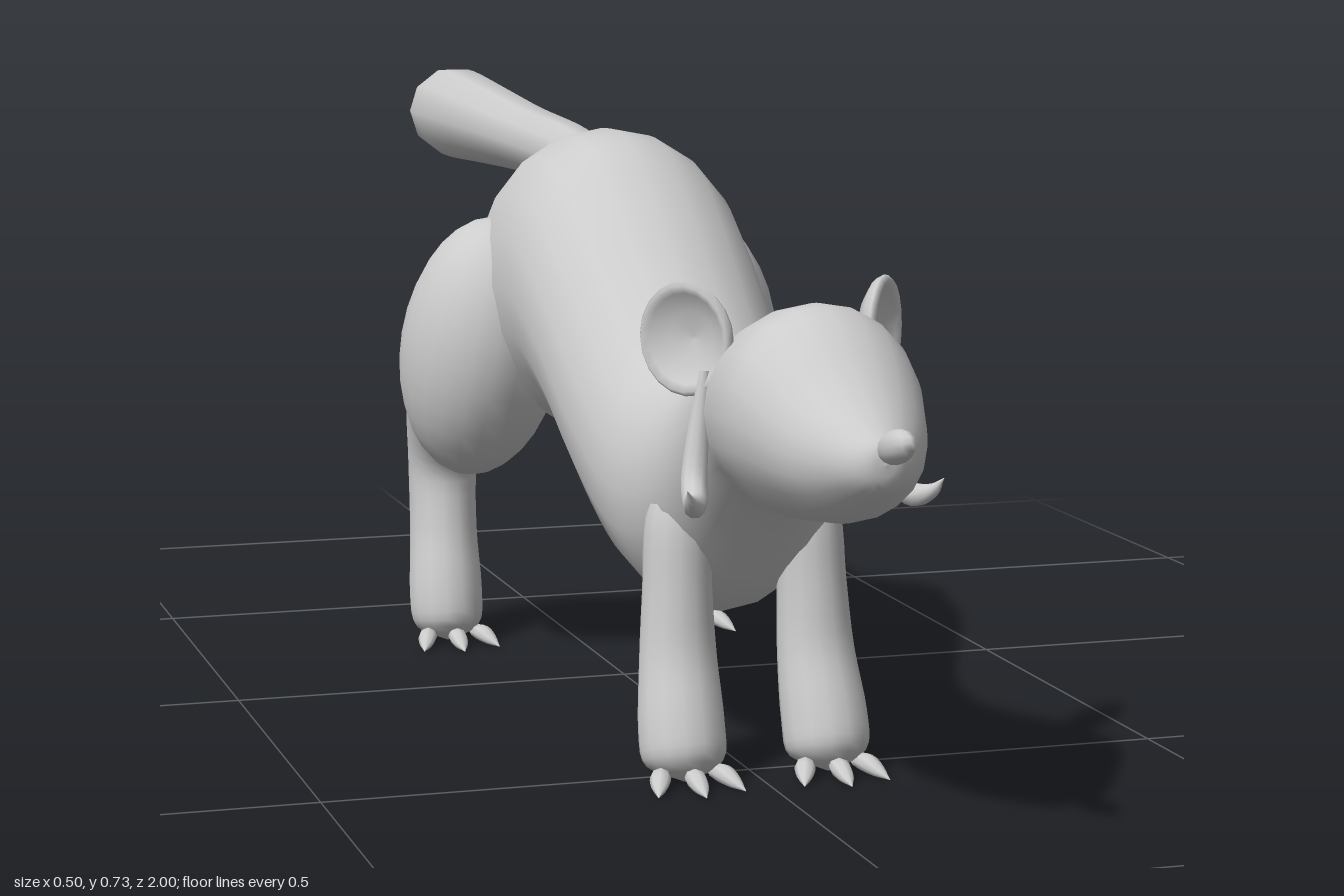
import * as THREE from 'three';

const fur = new THREE.MeshStandardMaterial({ color: 0xcccccc });
fur.name = 'plain grey';

// Smooth tube through rows [x, y, z, halfWidth, halfDepth]; upright keeps the rings vertical.
function loft(rows, { sides = 16, steps = 4, upright = false } = {}) {
  const centres = new THREE.CatmullRomCurve3(rows.map(r => new THREE.Vector3(r[0], r[1], r[2])), false, 'catmullrom');
  const radii = new THREE.CatmullRomCurve3(rows.map(r => new THREE.Vector3(r[3], r[4], 0)), false, 'catmullrom');
  const xAxis = new THREE.Vector3(1, 0, 0);
  const n = (rows.length - 1) * steps;
  const pos = [], idx = [];
  for (let i = 0; i <= n; i++) {
    const c = centres.getPoint(i / n), r = radii.getPoint(i / n);
    const up = upright ? new THREE.Vector3(0, 1, 0) : centres.getTangent(i / n).cross(xAxis).normalize();
    const rx = Math.max(r.x, 0.0003), ry = Math.max(r.y, 0.0003);
    for (let j = 0; j < sides; j++) {
      const a = (j / sides) * Math.PI * 2;
      const p = c.clone().addScaledVector(xAxis, rx * Math.cos(a)).addScaledVector(up, ry * Math.sin(a));
      pos.push(p.x, p.y, p.z);
      if (i < n) {
        const k = i * sides + j, m = i * sides + ((j + 1) % sides);
        idx.push(k, m, k + sides, m, m + sides, k + sides);
      }
    }
  }
  const g = new THREE.BufferGeometry();
  g.setAttribute('position', new THREE.Float32BufferAttribute(pos, 3));
  g.setIndex(idx);
  g.computeVertexNormals();
  return g;
}

export function createModel() {
  const model = new THREE.Group();
  model.name = 'longBodiedAnimal';
  const add = (name, geometry, parent = model) => {
    const mesh = new THREE.Mesh(geometry, fur);
    mesh.name = name;
    parent.add(mesh);
    return mesh;
  };

  // Rump, back, neck and head in one skin: [z, underside, top, half width]
  const profile = [
    [-0.295, 0.48, 0.48, 0], [-0.285, 0.42, 0.55, 0.07], [-0.25, 0.35, 0.62, 0.12],
    [-0.18, 0.31, 0.68, 0.15], [-0.08, 0.31, 0.70, 0.16], [0.02, 0.32, 0.69, 0.157],
    [0.12, 0.285, 0.63, 0.15], [0.22, 0.22, 0.555, 0.142], [0.32, 0.175, 0.485, 0.132],
    [0.40, 0.17, 0.462, 0.122], [0.48, 0.21, 0.47, 0.112], [0.56, 0.29, 0.51, 0.10],
    [0.62, 0.335, 0.545, 0.10], [0.70, 0.335, 0.568, 0.11], [0.76, 0.34, 0.565, 0.106],
    [0.84, 0.355, 0.508, 0.08], [0.90, 0.385, 0.468, 0.046], [0.925, 0.405, 0.45, 0.022],
    [0.93, 0.43, 0.43, 0],
  ];
  add('bodyAndHead', loft(
    profile.map(([z, lo, hi, w]) => [0, (lo + hi) / 2, z, w, (hi - lo) / 2]),
    { sides: 20, upright: true }));

  // Nose
  const nose = add('nose', new THREE.SphereGeometry(1, 12, 8));
  nose.scale.set(0.015, 0.018, 0.042);
  nose.position.set(0, 0.453, 0.958);
  nose.rotation.x = -0.25;

  // Tail, thicker towards its rounded tip
  add('tail', loft([
    [0, 0.64, -0.12, 0.035, 0.04], [0, 0.652, -0.25, 0.041, 0.042], [0, 0.658, -0.45, 0.046, 0.046],
    [0, 0.663, -0.65, 0.054, 0.056], [0, 0.667, -0.85, 0.062, 0.066], [0, 0.667, -0.93, 0.058, 0.06],
    [0, 0.668, -0.98, 0.036, 0.038], [0, 0.67, -1, 0, 0],
  ], { sides: 10 }));

  // Three splayed claws in front of a foot
  const clawShape = loft([
    [0, 0.016, 0, 0.006, 0.006], [0, 0.018, 0.02, 0.012, 0.011],
    [0, 0.012, 0.042, 0.009, 0.007], [0, 0.006, 0.062, 0, 0],
  ], { sides: 8, steps: 3 });
  const addClaws = (foot, x, z) => {
    for (const k of [-1, 0, 1]) {
      const claw = add('claw', clawShape, foot);
      claw.position.set(x + k * 0.03, 0, z - Math.abs(k) * 0.012);
      claw.rotation.y = k * 0.35;
    }
  };

  const earShape = new THREE.LatheGeometry([
    [0, -0.014], [0.04, -0.01], [0.058, 0], [0.063, 0.009], [0.058, 0.015],
    [0.05, 0.01], [0.03, -0.002], [0, -0.006],
  ].map(p => new THREE.Vector2(...p)), 20);
  earShape.rotateX(Math.PI / 2);

  for (const s of [1, -1]) {
    const side = s > 0 ? 'left' : 'right';
    const mirrored = rows => rows.map(([x, ...rest]) => [s * x, ...rest]);

    // Cupped ear
    const ear = add(side + 'Ear', earShape);
    ear.position.set(s * 0.107, 0.523, 0.612);
    ear.rotation.y = s * 0.95;

    // Curled cheek hook below the ear
    add(side + 'CheekHook', loft(mirrored([
      [0.098, 0.49, 0.635, 0.006, 0.006], [0.106, 0.43, 0.638, 0.012, 0.012],
      [0.115, 0.375, 0.65, 0.015, 0.015], [0.123, 0.352, 0.68, 0.014, 0.014],
      [0.136, 0.358, 0.708, 0.009, 0.009], [0.146, 0.375, 0.724, 0, 0],
    ]), { sides: 10 }));

    // Front leg
    const front = new THREE.Group();
    front.name = side + 'FrontLeg';
    add('limb', loft(mirrored([
      [0.075, 0.36, 0.47, 0.015, 0.02], [0.078, 0.30, 0.475, 0.037, 0.04], [0.081, 0.22, 0.482, 0.040, 0.042],
      [0.083, 0.14, 0.492, 0.045, 0.044], [0.086, 0.065, 0.515, 0.05, 0.05],
      [0.086, 0.025, 0.528, 0.044, 0.044], [0.086, 0.005, 0.532, 0, 0],
    ]), { sides: 14 }), front);
    addClaws(front, s * 0.086, 0.548);
    model.add(front);

    // Hind leg with a bulging thigh
    const hind = new THREE.Group();
    hind.name = side + 'HindLeg';
    const thigh = add('thigh', new THREE.SphereGeometry(1, 22, 16), hind);
    thigh.scale.set(0.104, 0.172, 0.122);
    thigh.position.set(s * 0.146, 0.415, -0.155);
    thigh.rotation.set(0.2, 0, s * 0.12);
    add('limb', loft(mirrored([
      [0.15, 0.40, -0.16, 0.05, 0.06], [0.155, 0.36, -0.21, 0.075, 0.09],
      [0.162, 0.315, -0.272, 0.058, 0.07], [0.163, 0.24, -0.306, 0.047, 0.05],
      [0.165, 0.15, -0.297, 0.045, 0.052], [0.168, 0.07, -0.273, 0.049, 0.053],
      [0.168, 0.025, -0.264, 0.042, 0.046], [0.168, 0.005, -0.262, 0, 0],
    ]), { sides: 14 }), hind);
    addClaws(hind, s * 0.165, -0.242);
    model.add(hind);
  }
  return model;
}
